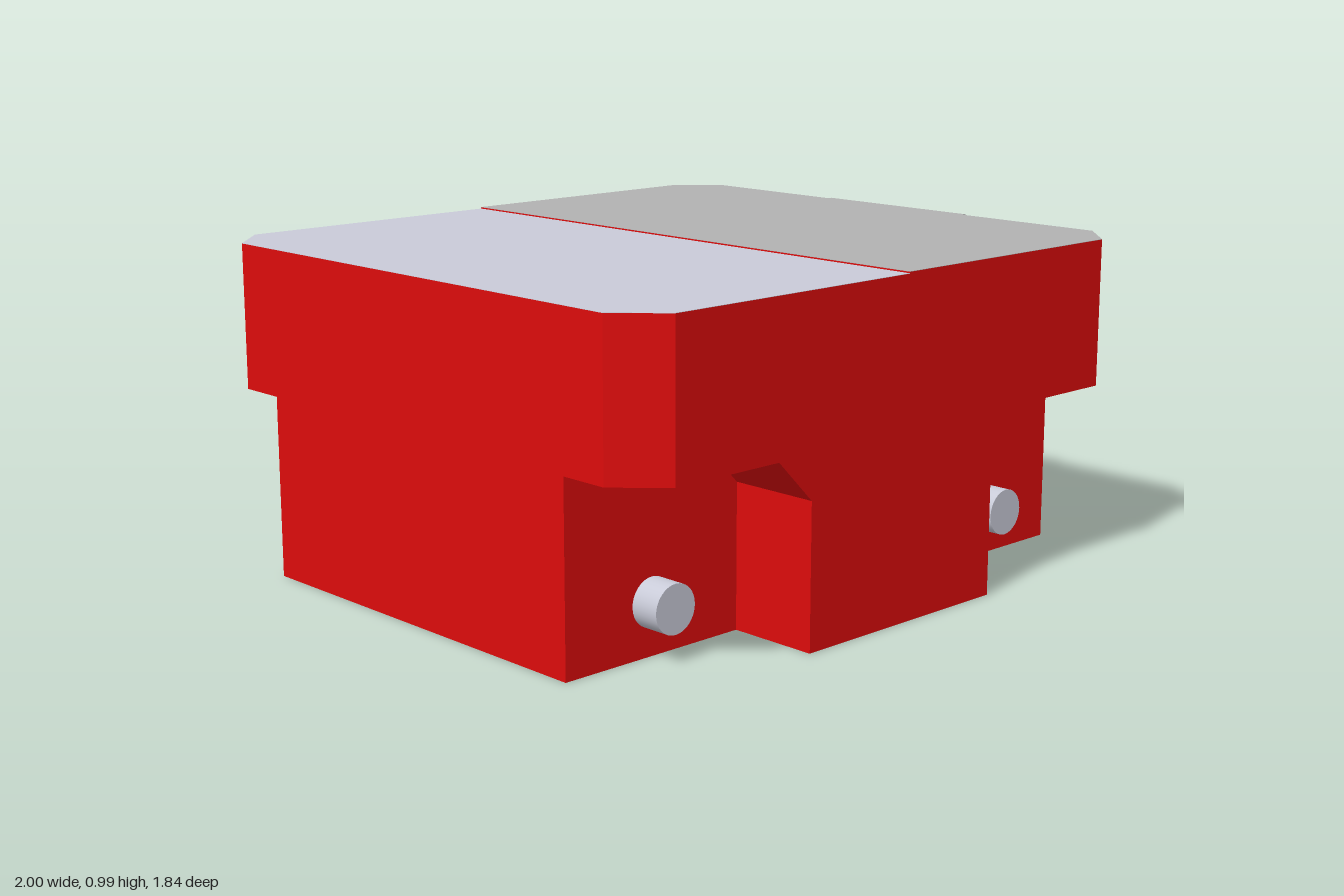
import * as THREE from 'three';

const mat = (color) => new THREE.MeshStandardMaterial({ color, flatShading: true });

const X0 = -1, X1 = 0.985, Z = 0.916;        // body limits
const CX = (X0 + X1) / 2, CUT = 0.125;       // middle and corner chamfer
const SHELF = 0.545, INNER = 0.64;           // notch ceiling and notch back wall

const polygon = (pts) => new THREE.Shape(pts.map(([x, y]) => new THREE.Vector2(x, y)));

// Half of the chamfered plan outline; side is -1 or 1
function halfPlan(side) {
  const e = side < 0 ? X0 : X1;
  const pts = [[CX, -Z], [e - side * CUT, -Z], [e, -Z + CUT], [e, Z - CUT], [e - side * CUT, Z], [CX, Z]];
  return polygon(side < 0 ? pts.reverse() : pts);
}

// Plan shape raised from y0 to y1
function slab(shape, y0, y1) {
  const g = new THREE.ExtrudeGeometry(shape, { depth: y1 - y0, bevelEnabled: false });
  return g.rotateX(-Math.PI / 2).translate(0, y0, 0);
}

export function createModel() {
  const group = new THREE.Group();
  const red = mat(0xdd0c0c), light = mat(0xc9cbd8), dark = mat(0xb2b2b2);

  const add = (name, geometry, material, x = 0, y = 0, z = 0) => {
    const mesh = new THREE.Mesh(geometry, material);
    mesh.name = name;
    mesh.position.set(x, y, z);
    group.add(mesh);
    return mesh;
  };

  // Upper housing in two halves, the +x one a hair taller, each with a thin cover
  for (const side of [-1, 1]) {
    const top = side < 0 ? 0.98 : 0.985;
    const plan = halfPlan(side);
    add('upperHousing', slab(plan, SHELF, top), red);
    add('topCover', slab(plan, top, top + 0.001), side < 0 ? light : dark);
  }

  // Lower core between the notches
  add('lowerCore', new THREE.BoxGeometry(X1 - X0, SHELF, INNER * 2), red, CX, SHELF / 2, 0);

  // Front and back ribs flaring out under the housing
  const w = 0.375, f = w + CUT;
  const rib = polygon([
    [-w, 0], [w, 0], [w, SHELF - CUT], [f, SHELF], [-f, SHELF], [-w, SHELF - CUT],
  ]);
  const ribGeo = new THREE.ExtrudeGeometry(rib, { depth: Z - INNER, bevelEnabled: false });
  add('frontRib', ribGeo, red, CX, 0, INNER);
  add('backRib', ribGeo, red, CX, 0, -Z);

  // Axle pegs in the four notches
  const pegMat = light.clone();
  pegMat.flatShading = false;
  const pegGeo = new THREE.CylinderGeometry(0.07, 0.07, 0.09, 32).rotateX(Math.PI / 2);
  for (const sx of [-1, 1]) for (const sz of [-1, 1]) {
    add('peg', pegGeo, pegMat, CX + sx * 0.69, 0.15, sz * (INNER + 0.045));
  }

  // Latch on the +x edge and plate on the back
  add('latch', new THREE.BoxGeometry(0.03, 0.07, 0.58), dark, 0.985, 0.951, 0);
  add('backPlate', new THREE.BoxGeometry(0.63, 0.41, 0.01), light, CX, 0.62, -Z);

  return group;
}
